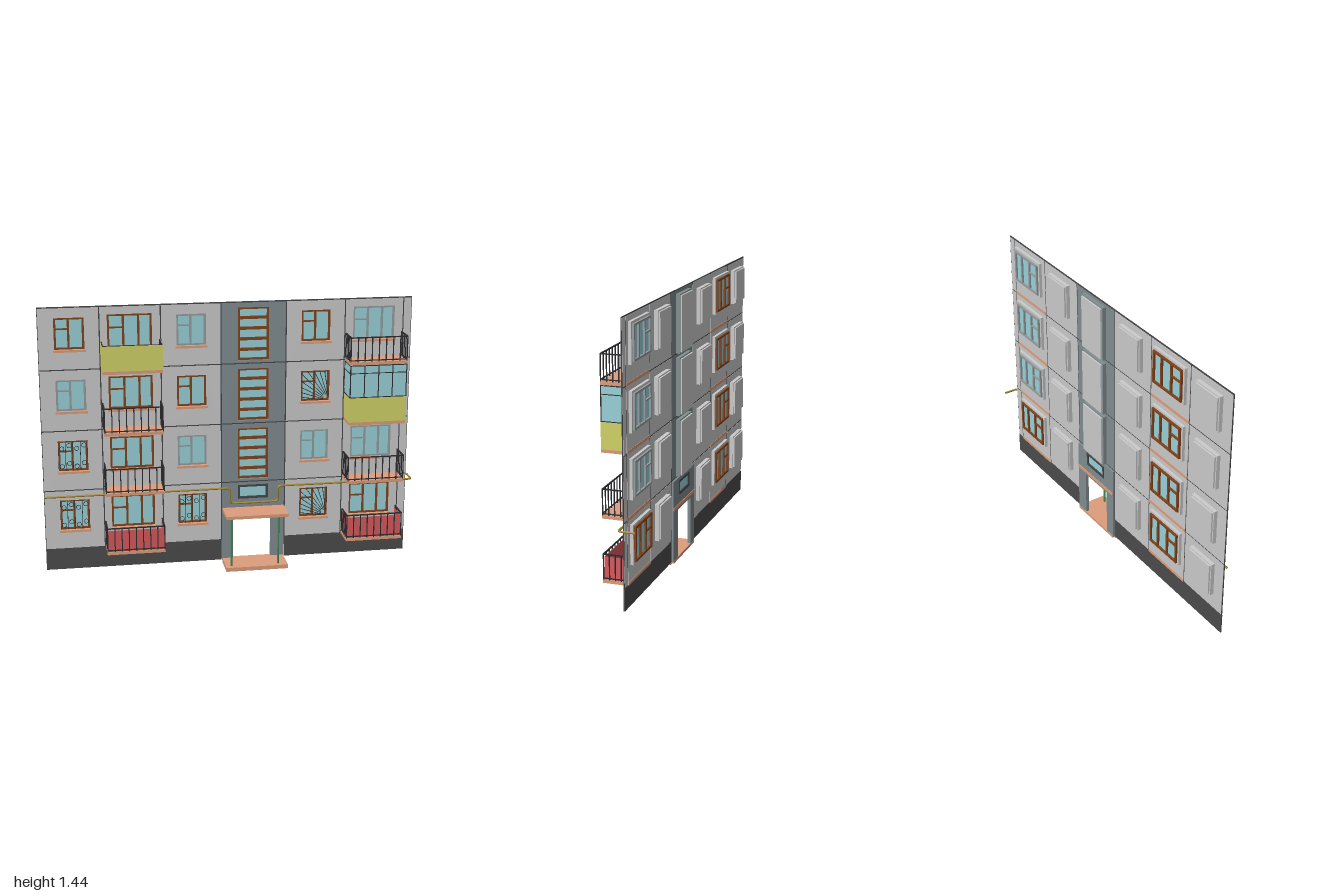
import * as THREE from 'three';

const mat = (color) => new THREE.MeshStandardMaterial({ color, side: THREE.DoubleSide });
const M = {
  wall: mat(0xcccccc), stair: mat(0x828d90), seam: mat(0x444648), plinth: mat(0x4c4c4c),
  brown: mat(0x82431c), grey: mat(0x969ea0), glass: mat(0x9ad2da), clay: mat(0xdd9e7c),
  iron: mat(0x2c2c30), yellow: mat(0xd2d468), red: mat(0xd75a5e), green: mat(0x3f8f56), pipe: mat(0xa08428),
};
const FLOOR = 0.326, BASE = 0.133, TOP = 1.44;
const floorY = (i) => BASE + FLOOR * i;

function group(parent, name) {
  const g = new THREE.Group();
  g.name = name;
  parent.add(g);
  return g;
}

function box(parent, name, x0, x1, y0, y1, z0, z1, m) {
  const mesh = new THREE.Mesh(new THREE.BoxGeometry(x1 - x0, y1 - y0, z1 - z0), m);
  mesh.position.set((x0 + x1) / 2, (y0 + y1) / 2, (z0 + z1) / 2);
  mesh.name = name;
  parent.add(mesh);
  return mesh;
}

// Rectangular slab with rectangular holes, each rectangle as [x0, x1, y0, y1]
function slab(parent, name, r, holes, z0, z1, m) {
  const trace = (p, [x0, x1, y0, y1]) =>
    p.moveTo(x0, y0).lineTo(x1, y0).lineTo(x1, y1).lineTo(x0, y1).lineTo(x0, y0);
  const shape = new THREE.Shape();
  trace(shape, r);
  for (const h of holes) {
    const p = new THREE.Path();
    trace(p, h);
    shape.holes.push(p);
  }
  const mesh = new THREE.Mesh(new THREE.ExtrudeGeometry(shape, { depth: z1 - z0, bevelEnabled: false }), m);
  mesh.position.z = z0;
  mesh.name = name;
  parent.add(mesh);
}

const grow = ([x0, x1, y0, y1], d) => [x0 - d, x1 + d, y0 - d, y1 + d];

// Straight thin bar between two points in a plane of constant z
function rod(parent, name, ax, ay, bx, by, z, t, m) {
  const len = Math.hypot(bx - ax, by - ay);
  const bar = box(parent, name, -len / 2, len / 2, -t / 2, t / 2, -t / 2, t / 2, m);
  bar.position.set((ax + bx) / 2, (ay + by) / 2, z);
  bar.rotation.z = Math.atan2(by - ay, bx - ax);
}

// Window: reveal, frame, glass and sill; "kind" sets the muntins
function makeWindow(parent, r, frame, kind, closed, grille) {
  const g = group(parent, 'window');
  const [x0, x1, y0, y1] = r, w = x1 - x0, h = y1 - y0, t = 0.011;
  const zb = closed ? -0.067 : -0.062;
  slab(g, 'windowReveal', grow(r, 0.012), [r], zb, -0.044, kind === 'stair' ? M.stair : M.wall);
  if (closed) {
    const [a, b, c, d] = grow(r, 0.005);
    box(g, 'nicheBack', a, b, c, d, -0.076, zb, M.wall);
  }
  box(g, 'glass', x0, x1, y0, y1, -0.062, -0.058, M.glass);
  const zf = closed ? -0.066 : -0.072;
  slab(g, 'windowFrame', r, [grow(r, -t)], zf, -0.05, frame);
  const vert = (x) => box(g, 'mullion', x - t / 2, x + t / 2, y0 + t, y1 - t, zf, -0.051, frame);
  const horiz = (a, b, y, s = 0.008) => box(g, 'transom', a, b, y - s / 2, y + s / 2, zf, -0.052, frame);
  if (kind === 'single') {
    vert(x0 + w * 0.48);
    horiz(x0 + t, x0 + w * 0.48, y0 + h * 0.64);
  } else if (kind === 'triple') {
    vert(x0 + w * 0.36);
    vert(x0 + w * 0.7);
    horiz(x0 + t, x0 + w * 0.36, y0 + h * 0.6);
  } else if (kind === 'stair') {
    for (let i = 1; i < 5; i++) horiz(x0 + t, x1 - t, y0 + (h * i) / 5, 0.016);
  }
  if (kind === 'single' || kind === 'triple') {
    box(g, 'sill', x0 - 0.006, x1 + 0.006, y0 - 0.01, y0 + 0.002, -0.058, -0.03, M.clay);
  }
  const z = -0.046;
  if (grille === 'sun') {
    // Rays fanning out from the lower right corner
    for (let i = 0; i <= 10; i++) {
      const a = (Math.PI / 2) * (i / 10), c = Math.cos(a), s = Math.sin(a);
      const len = Math.min(w / Math.max(c, 1e-6), h / Math.max(s, 1e-6));
      rod(g, 'grilleRay', x1 - c * len * 0.2, y0 + s * len * 0.2, x1 - c * len, y0 + s * len, z, 0.003, M.iron);
    }
  } else if (grille === 'rings') {
    for (let i = 0; i <= 4; i++) rod(g, 'grilleBar', x0 + (w * i) / 4, y0, x0 + (w * i) / 4, y1, z, 0.003, M.iron);
    for (let i = 0; i < 4; i++) for (const f of [0.2, 0.78]) {
      const ring = new THREE.Mesh(new THREE.TorusGeometry(0.012, 0.0015, 4, 12), M.iron);
      ring.position.set(x0 + (w * (i + 0.5)) / 4, y0 + h * (f + (i % 2 ? 0.06 : -0.04)), z);
      ring.name = 'grilleRing';
      g.add(ring);
    }
  }
}

// Balcony: slab, railing and optional panels or glazing
function makeBalcony(parent, x0, x1, y, style) {
  const g = group(parent, 'balcony');
  const zb = -0.042, zf = 0.084, t = 0.005, y0 = y + 0.012, y1 = y + 0.145;
  box(g, 'balconySlab', x0, x1, y - 0.004, y0, -0.048, zf, M.clay);
  // The three open sides, as thin boxes between two heights
  const sides = (name, a, b, d, m, inset = 0) => {
    box(g, name, x0 + inset, x1 - inset, a, b, zf - d - inset, zf - inset, m);
    box(g, name, x0 + inset, x0 + d + inset, a, b, zb, zf - inset, m);
    box(g, name, x1 - d - inset, x1 - inset, a, b, zb, zf - inset, m);
  };
  const posts = (a, b, nx, nz) => {
    for (let i = 0; i <= nx; i++) {
      const x = x0 + ((x1 - x0 - t) * i) / nx;
      box(g, 'railingBar', x, x + t, a, b, zf - t, zf, M.iron);
    }
    for (let i = 0; i < nz; i++) for (const x of [x0, x1 - t]) {
      const z = zb + ((zf - zb - t) * i) / nz;
      box(g, 'railingBar', x, x + t, a, b, z, z + t, M.iron);
    }
  };
  if (style === 'glazed') {
    const top = y + FLOOR - 0.006;
    sides('balconyPanel', y0, y1, 0.004, M.yellow);
    sides('balconyGlass', y1, top, 0.002, M.glass, 0.002);
    posts(y1, top, 4, 1);
    for (const yy of [y1, top - 0.045, top - 0.004]) sides('glazingRail', yy, yy + 0.004, 0.005, M.iron);
    return;
  }
  sides('handrail', y1 - 0.006, y1, 0.006, M.iron);
  sides('lowerRail', y0 + 0.006, y0 + 0.011, t, M.iron);
  posts(y0, y1, 8, 4);
  if (style === 'red') sides('balconyPanel', y0, y1 - 0.016, 0.002, M.red, 0.006);
  if (style === 'yellow') sides('balconyPanel', y0, y1 - 0.002, 0.003, M.yellow, -0.002);
}

export function createModel() {
  const model = new THREE.Group();
  model.name = 'apartmentFacade';

  // Bays: x range, window x range, frame colour per floor (b brown, g grey), grilles, balconies
  const bays = [
    { x: [-1, -0.685], w: [-0.917, -0.762], f: 'bbgb', grille: ['rings', 'rings'] },
    { x: [-0.685, -0.37], w: [-0.645, -0.414], f: 'bbbb', balcony: ['red', 'rail', 'rail', 'yellow'] },
    { x: [-0.37, -0.055], w: [-0.288, -0.133], f: 'bgbg', grille: ['rings'] },
    { x: [0.29, 0.605], w: [0.373, 0.528], f: 'bgbb', grille: ['sun', null, 'sun'] },
    { x: [0.605, 0.92], w: [0.65, 0.876], f: 'bggg', balcony: ['red', 'rail', 'glazed', 'rail'] },
    { x: [0.92, 0.965] },
  ];
  const zw = [-0.046, -0.039], gap = 0.003;
  for (const b of bays) for (let i = 0; i < 4; i++) {
    const y = floorY(i), g = group(model, 'wallBay');
    const hole = b.w && [...b.w, y + (b.balcony ? 0.105 : 0.104), y + (b.balcony ? 0.283 : 0.272)];
    slab(g, 'wallPanel', [b.x[0] + gap, b.x[1] - gap, y + gap, y + FLOOR - gap], hole ? [hole] : [], ...zw, M.wall);
    if (hole) {
      makeWindow(g, hole, b.f[i] === 'b' ? M.brown : M.grey, b.balcony ? 'triple' : 'single', !b.balcony, b.grille?.[i]);
    }
    if (b.balcony) makeBalcony(g, b.x[0] + 0.004, b.x[1] - 0.004, y, b.balcony[i]);
  }

  // Dark joints between panels
  for (const x of [-1 + gap, -0.685, -0.37, -0.055, 0.29, 0.605, 0.92, 0.965 - gap]) {
    box(model, 'verticalJoint', x - gap, x + gap, BASE, TOP, -0.045, -0.04, M.seam);
  }
  for (let i = 0; i <= 4; i++) {
    const y = Math.min(floorY(i), TOP - gap);
    for (const [a, b] of i ? [[-1, 0.965]] : [[-1, -0.055], [0.29, 0.965]]) {
      box(model, 'horizontalJoint', a, b, y - gap, y + gap, -0.045, -0.04, M.seam);
    }
  }

  // Plinth on both sides of the entrance
  box(model, 'plinth', -1, -0.055, 0.018, BASE, ...zw, M.plinth);
  box(model, 'plinth', 0.29, 0.965, 0.018, BASE, ...zw, M.plinth);

  // Stairwell bay with tall windows, above the entrance
  const stair = group(model, 'stairwell'), sx = [-0.052, 0.287], wx = [0.035, 0.2];
  for (let i = 1; i < 4; i++) {
    const y = floorY(i), hole = [...wx, y + 0.016, y + 0.297];
    slab(stair, 'stairPanel', [...sx, y + gap, y + FLOOR - gap], [hole], ...zw, M.stair);
    makeWindow(stair, hole, M.brown, 'stair', true);
  }
  const small = [...wx, 0.362, 0.44];
  slab(stair, 'entranceWall', [...sx, 0.018, BASE + FLOOR - gap], [small, [0.008, 0.215, 0.022, 0.285]], -0.057, -0.039, M.stair);
  box(stair, 'smallWindowGlass', ...small, -0.052, -0.048, M.glass);
  slab(stair, 'smallWindowFrame', small, [grow(small, -0.012)], -0.059, -0.04, M.seam);

  // Entrance step, canopy and posts
  const porch = group(model, 'porch');
  box(porch, 'entranceStep', -0.05, 0.285, 0.01, 0.025, -0.058, 0.108, M.clay);
  box(porch, 'stepFooting', -0.05, 0.285, 0, 0.012, -0.04, 0.1, M.clay);
  box(porch, 'canopy', -0.05, 0.285, 0.298, 0.315, -0.06, 0.108, M.clay);
  for (const x of [-0.02, 0.235]) {
    const post = new THREE.Mesh(new THREE.CylinderGeometry(0.005, 0.005, 0.275, 10), M.green);
    post.position.set(x, 0.1615, 0.08);
    post.name = 'canopyPost';
    porch.add(post);
  }

  // Pipe along the front, dipping under the small window and turning back at the end
  const pts = [[-1, 0.43, -0.026], [-0.01, 0.43, -0.026], [-0.01, 0.343, -0.026], [0.252, 0.343, -0.026],
    [0.252, 0.43, -0.026], [0.994, 0.43, -0.026], [0.994, 0.43, -0.11]].map((p) => new THREE.Vector3(...p));
  const path = new THREE.CurvePath();
  let from = pts[0];
  for (let i = 1; i < pts.length - 1; i++) {
    const toward = (q) => pts[i].clone().add(q.clone().sub(pts[i]).setLength(0.02));
    const a = toward(pts[i - 1]), b = toward(pts[i + 1]);
    path.add(new THREE.LineCurve3(from, a));
    path.add(new THREE.QuadraticBezierCurve3(a, pts[i], b));
    from = b;
  }
  path.add(new THREE.LineCurve3(from, pts[pts.length - 1]));
  const pipe = new THREE.Mesh(new THREE.TubeGeometry(path, 300, 0.0055, 8), M.pipe);
  pipe.name = 'gasPipe';
  model.add(pipe);

  return model;
}
